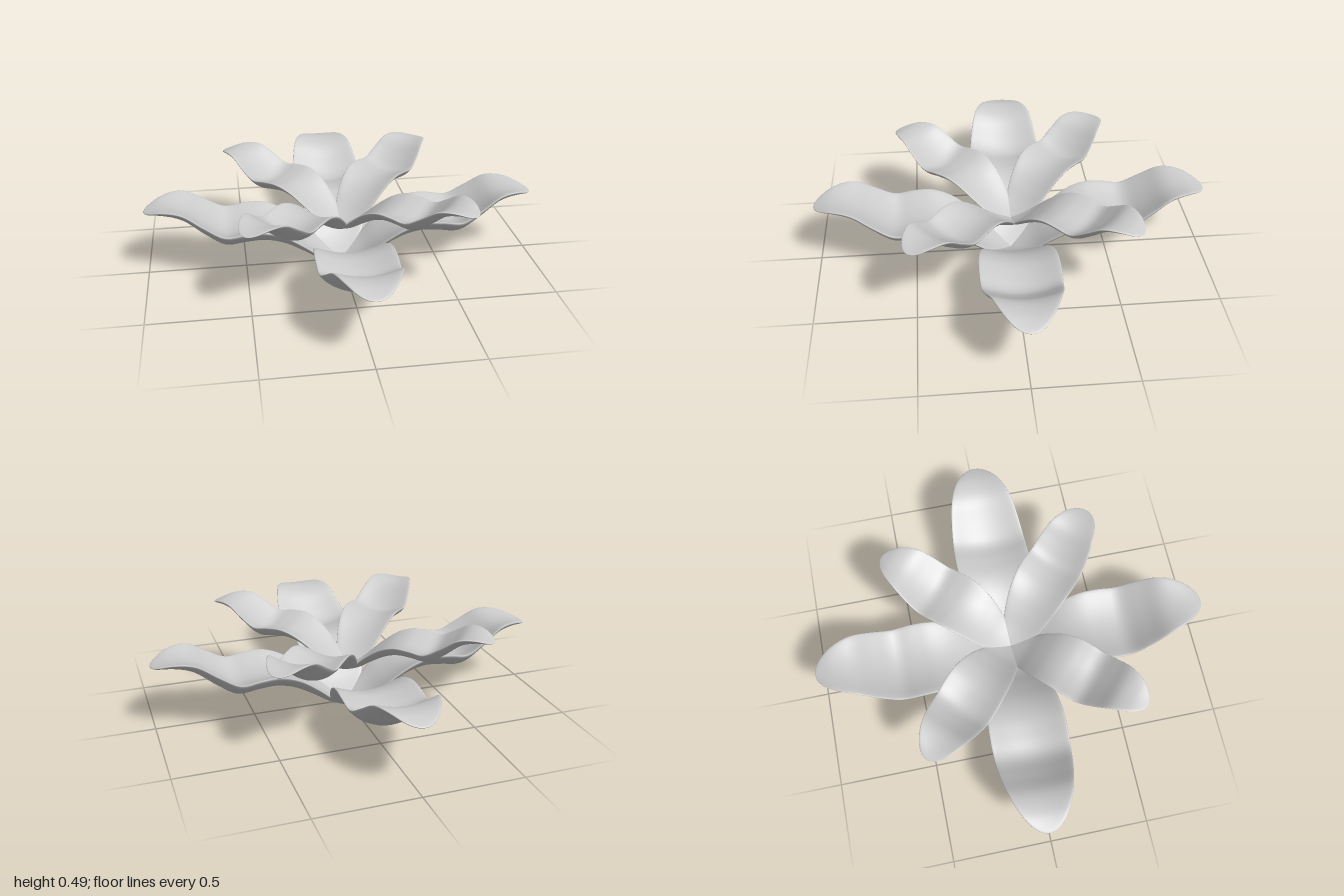
import * as THREE from 'three';
import { mergeVertices } from 'three/addons/utils/BufferGeometryUtils.js';

const LENGTH = 1, HALF_WIDTH = 0.196, HALF_THICK = 0.03, CUP = 2.0;

// Height of the petal's midrib at even steps from root to tip
const midrib = new THREE.SplineCurve(
  [0.005, 0.042, 0.11, 0.168, 0.195, 0.19, 0.182, 0.245, 0.32, 0.345, 0.338]
    .map((y, i) => new THREE.Vector2(i / 10, y))
);

// A flattened ellipsoid along +x, bent along the wavy midrib and cupped across its width
function petalGeometry() {
  let geo = new THREE.SphereGeometry(1, 40, 64);
  geo.rotateZ(-Math.PI / 2);
  geo.deleteAttribute('uv');
  geo.deleteAttribute('normal');
  geo = mergeVertices(geo, 1e-5);
  const p = geo.attributes.position;
  for (let i = 0; i < p.count; i++) {
    const r = THREE.MathUtils.clamp((p.getX(i) + 1) / 2, 0, 1);
    const z = p.getZ(i) * HALF_WIDTH;
    const y = midrib.getPoint(r).y + CUP * z * z + p.getY(i) * HALF_THICK;
    p.setXYZ(i, r * LENGTH, y, z);
  }
  geo.computeVertexNormals();
  return geo;
}

export function createModel() {
  const flower = new THREE.Group();
  flower.name = 'flower';
  const material = new THREE.MeshStandardMaterial({ color: 0xcccccc });
  const geo = petalGeometry();

  // One ring of petals; angles in degrees run from +x towards +z
  function addRing(name, angles, scale, height) {
    const ring = new THREE.Group();
    ring.name = name + 'Petals';
    angles.forEach((deg, i) => {
      const petal = new THREE.Mesh(geo, material);
      petal.name = `${name}Petal${i + 1}`;
      petal.scale.setScalar(scale);
      petal.position.y = height;
      petal.rotation.y = -THREE.MathUtils.degToRad(deg);
      ring.add(petal);
    });
    flower.add(ring);
  }

  addRing('outer', [0, 90, 181.2, 270], 1, 0);
  addRing('inner', [42.5, 132.5, 222.5, 312.5], 0.77, 0.195);
  return flower;
}
